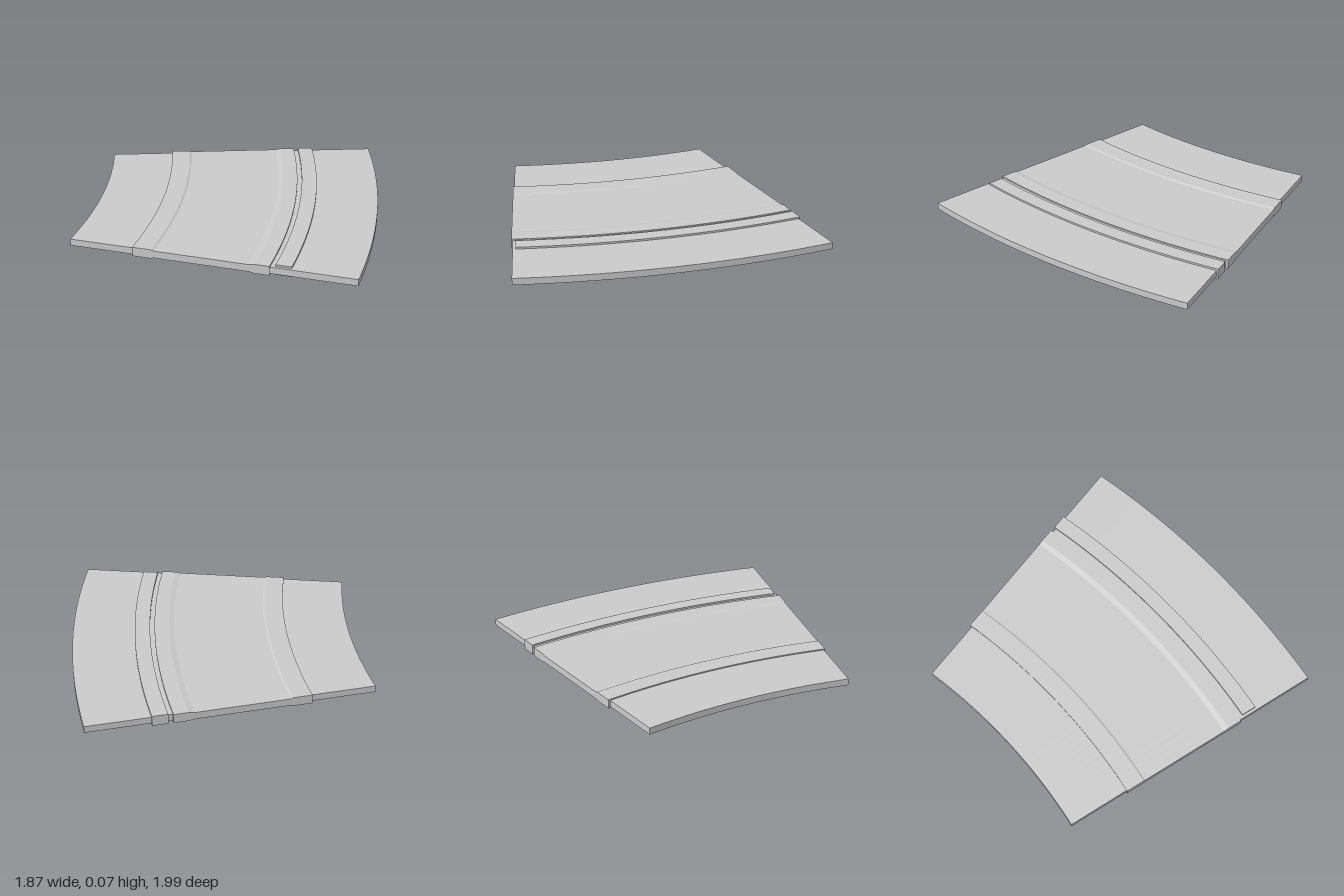
import * as THREE from 'three';
import { toCreasedNormals } from 'three/addons/utils/BufferGeometryUtils.js';

const CENTRE_X = -4.735; // centre of all the arcs
const MID_Y = 0.0335;    // the section is mirrored above and below this height
const STEPS = 32;

// Sweeps a section around the arc centre. Points are [radius, half thickness].
function arcSlab(name, points, backAngle, frontAngle, material) {
  const lower = points.map(([r, h]) => new THREE.Vector2(r, MID_Y - h));
  const upper = points.map(([r, h]) => new THREE.Vector2(r, MID_Y + h)).reverse();
  const geometry = new THREE.ExtrudeGeometry(new THREE.Shape([...lower, ...upper]), {
    depth: 1, steps: STEPS, bevelEnabled: false,
  });
  // bend the straight extrusion into an arc
  const p = geometry.attributes.position;
  for (let i = 0; i < p.count; i++) {
    const r = p.getX(i);
    const a = THREE.MathUtils.lerp(-backAngle, frontAngle, p.getZ(i));
    p.setXYZ(i, CENTRE_X + r * Math.cos(a), p.getY(i), r * Math.sin(a));
  }
  const mesh = new THREE.Mesh(toCreasedNormals(geometry, 0.1), material);
  mesh.name = name;
  return mesh;
}

export function createModel() {
  const group = new THREE.Group();
  group.name = 'curvedPanel';
  const grey = new THREE.MeshStandardMaterial({ color: 0xcccccc });

  // thin base plate, full width
  group.add(arcSlab('basePlate', [[3.86, 0.0215], [5.67, 0.0215]], 0.177, 0.1762, grey));

  // middle sleeve with thickened rims that step down to its flat centre
  group.add(arcSlab('middleSleeve', [
    [4.27, 0.0295], [4.392, 0.0295], [4.404, 0.0235],
    [5.005, 0.0235], [5.04, 0.03], [5.135, 0.03],
  ], 0.1803, 0.178, grey));

  // separate narrow band beyond a small gap, set slightly to the back
  group.add(arcSlab('outerBand', [[5.165, 0.0335], [5.265, 0.0335]], 0.179, 0.1727, grey));

  return group;
}
